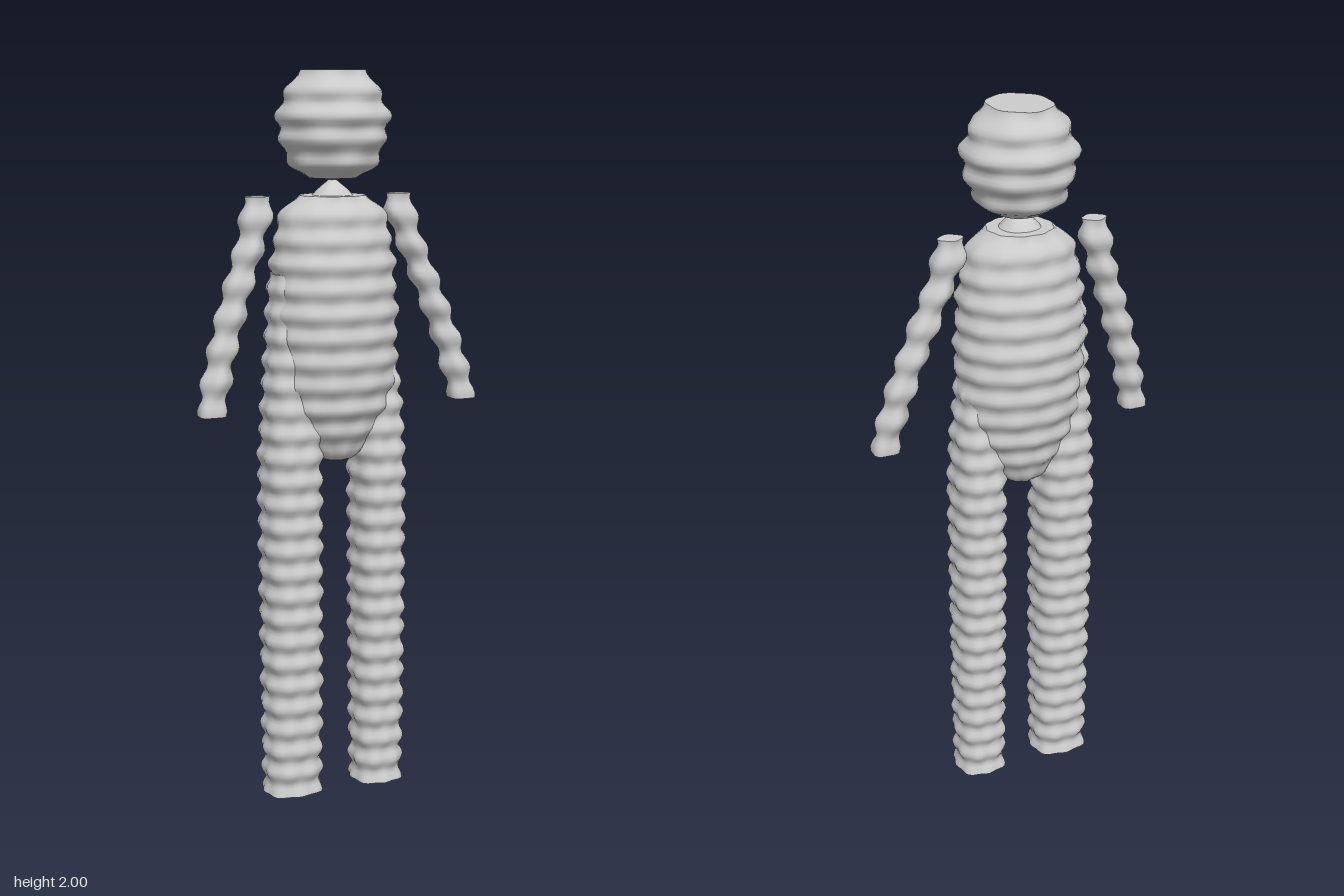
import * as THREE from 'three';

const material = new THREE.MeshStandardMaterial({ color: 0xcccccc, side: THREE.DoubleSide });
const STEP = 0.065; // spacing of the bumps along the body

// Smooth bumpy solid through sections [y, centreX, centreZ, radiusX, radiusZ].
function bumpyLoft(name, sections, { bump = 0.009, lobes = 8, power = 2.2, segments = 40, pitch = STEP } = {}) {
  const pos = [], index = [];
  const y0 = sections[0][0], y1 = sections[sections.length - 1][0];
  const rows = Math.max(12, Math.ceil((y1 - y0) / (pitch / 6)));

  const sectionAt = (y) => {
    let k = 0;
    while (k < sections.length - 2 && y > sections[k + 1][0]) k++;
    const a = sections[k], b = sections[k + 1];
    const t = (y - a[0]) / (b[0] - a[0]);
    return a.map((v, i) => THREE.MathUtils.lerp(v, b[i], t));
  };

  const addRing = (y) => {
    const [, cx, cz, rx, rz] = sectionAt(y);
    for (let i = 0; i < segments; i++) {
      const a = (i / segments) * Math.PI * 2;
      const c = Math.cos(a), s = Math.sin(a);
      const k = Math.pow(Math.abs(c) ** power + Math.abs(s) ** power, -1 / power);
      // staggered rows of rounded bumps
      const row = Math.cos((y / pitch) * Math.PI * 2);
      const d = bump * (0.65 * row + 0.35 * Math.cos(lobes * a) * Math.cos((y / pitch) * Math.PI) - 0.3);
      pos.push(cx + c * (rx * k + d), y, cz + s * (rz * k + d));
    }
  };

  for (let j = 0; j <= rows; j++) addRing(y0 + ((y1 - y0) * j) / rows);
  for (let j = 0; j < rows; j++) {
    for (let i = 0; i < segments; i++) {
      const n = (i + 1) % segments;
      const a = j * segments + i, b = j * segments + n;
      const c = a + segments, d = b + segments;
      index.push(a, c, b, b, c, d);
    }
  }

  // flat end caps
  for (const [y, top] of [[y0, false], [y1, true]]) {
    const start = pos.length / 3;
    addRing(y);
    const s = sectionAt(y);
    pos.push(s[1], y, s[2]);
    for (let i = 0; i < segments; i++) {
      const p = start + i, q = start + ((i + 1) % segments);
      index.push(start + segments, top ? q : p, top ? p : q);
    }
  }

  const geometry = new THREE.BufferGeometry();
  geometry.setAttribute('position', new THREE.Float32BufferAttribute(pos, 3));
  geometry.setIndex(index);
  geometry.computeVertexNormals();
  const mesh = new THREE.Mesh(geometry, material);
  mesh.name = name;
  return mesh;
}

export function createModel() {
  const model = new THREE.Group();
  model.name = 'figure';

  // Head: faceted ball with a flat crown
  model.add(bumpyLoft('head', [
    [1.72, -0.015, 0, 0.075, 0.075],
    [1.745, -0.015, 0, 0.11, 0.11],
    [1.79, -0.015, 0, 0.137, 0.133],
    [1.87, -0.015, 0, 0.155, 0.15],
    [1.93, -0.015, 0, 0.138, 0.135],
    [1.98, -0.015, 0, 0.108, 0.115],
    [2.0, -0.015, 0, 0.085, 0.1],
  ], { lobes: 6, power: 2, bump: 0.011 }));

  // Torso, narrowing to the crotch
  model.add(bumpyLoft('torso', [
    [0.96, -0.015, 0.005, 0.05, 0.06],
    [1.0, -0.015, 0.005, 0.1, 0.09],
    [1.1, -0.015, 0.008, 0.155, 0.122],
    [1.2, -0.015, 0.008, 0.175, 0.138],
    [1.35, -0.018, 0.008, 0.18, 0.146],
    [1.5, -0.02, 0.01, 0.172, 0.135],
    [1.6, -0.02, 0.01, 0.157, 0.117],
    [1.65, -0.02, 0.01, 0.13, 0.103],
    [1.675, -0.02, 0.01, 0.09, 0.085],
  ], { lobes: 10, power: 2.1 }));

  // Small pointed neck
  model.add(bumpyLoft('neck', [
    [1.66, -0.02, 0.01, 0.07, 0.065],
    [1.69, -0.02, 0.01, 0.04, 0.04],
    [1.715, -0.02, 0.01, 0.012, 0.012],
  ], { bump: 0.002 }));

  // Legs run up along the sides of the torso
  for (const [name, x, r, top] of [['leftLeg', 0.11, 0.072, 1.32], ['rightLeg', -0.146, 0.082, 1.47]]) {
    const inward = Math.sign(x) * 0.025;
    model.add(bumpyLoft(name, [
      [0, x, 0.012, r - 0.002, 0.072],
      [0.3, x, 0.012, r, 0.08],
      [0.6, x, 0.01, r, 0.088],
      [0.95, x, 0.008, r, 0.092],
      [1.1, x - inward * 0.3, 0.008, r, 0.085],
      [top, x - inward, 0.008, r - 0.005, 0.07],
    ], { power: 2.8 }));
  }

  // Beaded arms, hanging outwards and detached at the shoulder
  for (const [name, side, shoulder] of [['leftArm', 1, 0.178], ['rightArm', -1, 0.228]]) {
    const x = (t) => side * THREE.MathUtils.lerp(shoulder, 0.368, t);
    model.add(bumpyLoft(name, [
      [1.1, x(1), 0.015, 0.036, 0.034],
      [1.13, x(0.98), 0.015, 0.041, 0.038],
      [1.25, x(0.8), 0.008, 0.041, 0.04],
      [1.4, x(0.5), 0.003, 0.041, 0.041],
      [1.55, x(0.16), 0, 0.04, 0.041],
      [1.64, x(0), -0.003, 0.046, 0.04],
      [1.675, x(0), -0.003, 0.038, 0.032],
    ], { bump: 0.01, lobes: 4, segments: 24, power: 2, pitch: 0.085 }));
  }

  return model;
}
